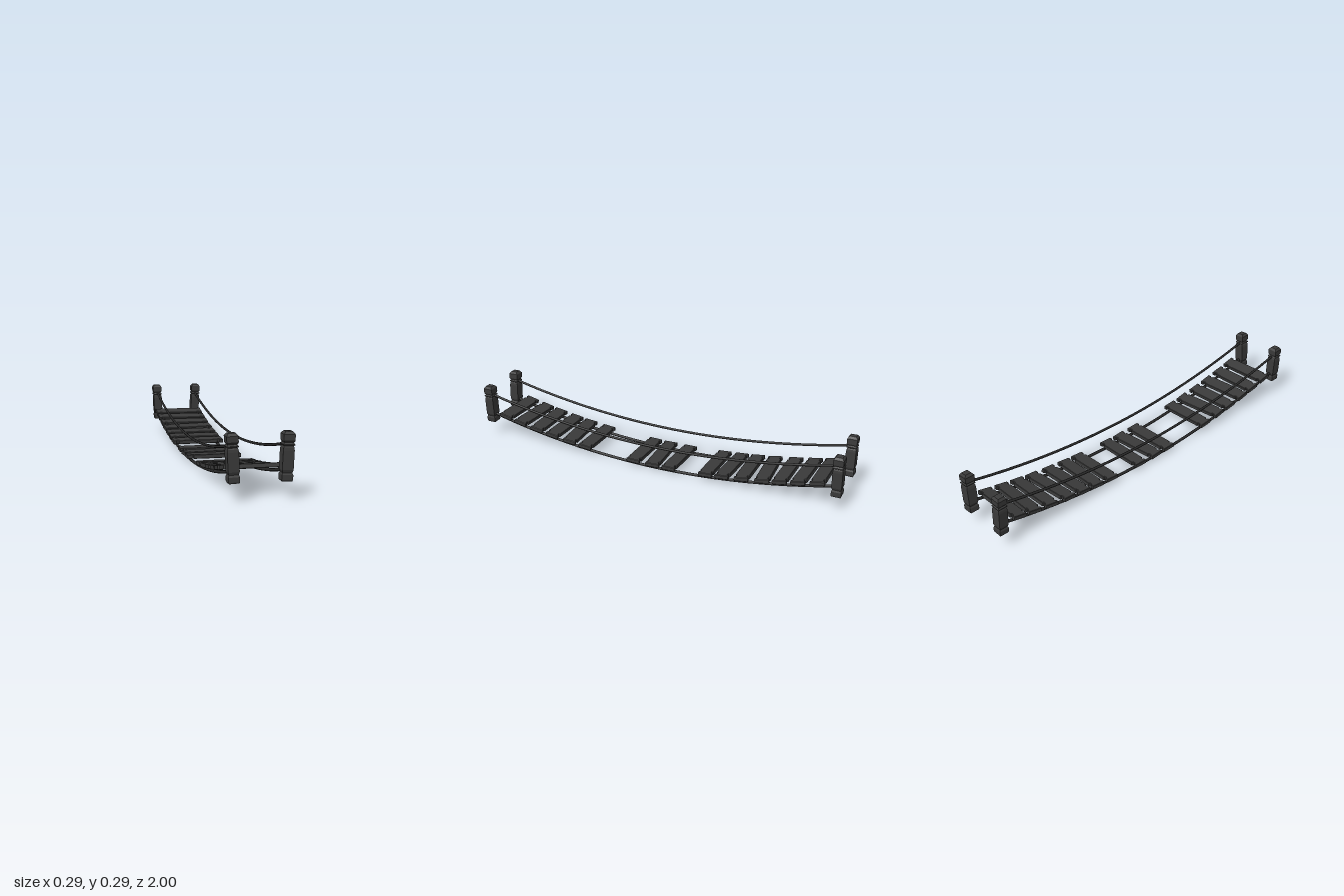
import * as THREE from 'three';

const wood = new THREE.MeshStandardMaterial({ color: 0x3a3a3a, flatShading: true });
const ropeMat = new THREE.MeshStandardMaterial({ color: 0x2a2a2a });

const deckY = z => 0.01 + 0.125 * z * z;
const railY = z => 0.126 + 0.118 * z * z;

// Square carved post: [half width, height] pairs turned with four sides
function makePost() {
  const profile = [
    [0, 0], [0.022, 0], [0.0245, 0.006], [0.0245, 0.027], [0.0205, 0.036],
    [0.0245, 0.048], [0.0245, 0.13], [0.023, 0.142], [0.02, 0.148],
    [0.025, 0.152], [0.025, 0.156], [0.02, 0.162], [0.025, 0.17],
    [0.025, 0.197], [0.016, 0.209], [0, 0.21],
  ].map(([r, y]) => new THREE.Vector2(r * Math.SQRT2, y));
  return new THREE.LatheGeometry(profile, 4, Math.PI / 4);
}

// Plank outline with small rope notches near both ends, extruded upward
function makePlank(width, depth, thick) {
  const w = width / 2, d = depth / 2, n = 0.007;
  const side = [[-w, d], [-0.123, d], [-0.120, d - n], [-0.109, d - n], [-0.106, d],
    [0.106, d], [0.109, d - n], [0.120, d - n], [0.123, d], [w, d]];
  const outline = [...side, ...side.map(([x, y]) => [-x, -y])];
  const shape = new THREE.Shape(outline.map(([x, y]) => new THREE.Vector2(x, y)));
  const b = 0.002;
  const geo = new THREE.ExtrudeGeometry(shape, {
    depth: thick - 2 * b, bevelEnabled: true, bevelThickness: b,
    bevelSize: b, bevelOffset: -b, bevelSegments: 1,
  });
  geo.translate(0, 0, b - thick / 2);
  geo.rotateX(-Math.PI / 2);
  return geo;
}

function makeRope(x, heightAt, end, radius) {
  const pts = [];
  for (let i = 0; i <= 16; i++) {
    const z = -end + (2 * end * i) / 16;
    pts.push(new THREE.Vector3(x, heightAt(z), z));
  }
  return new THREE.TubeGeometry(new THREE.CatmullRomCurve3(pts), 64, radius, 8);
}

export function createModel() {
  const bridge = new THREE.Group();
  bridge.name = 'ropeBridge';
  const add = (geo, mat, name) => {
    const mesh = new THREE.Mesh(geo, mat);
    mesh.name = name;
    bridge.add(mesh);
    return mesh;
  };

  // Four posts, leaning slightly outward
  const postGeo = makePost();
  for (const sx of [-1, 1]) {
    for (const sz of [-1, 1]) {
      const post = add(postGeo, wood, (sz > 0 ? 'front' : 'back') + (sx > 0 ? 'Left' : 'Right') + 'Post');
      post.position.set(sx * 0.1125, 0.079, sz * 0.973);
      post.rotation.z = -sx * 0.045;
    }
    // Deck rope under the planks and hand rope above
    const sideName = sx > 0 ? 'left' : 'right';
    add(makeRope(sx * 0.114, deckY, 0.965, 0.0075), ropeMat, sideName + 'DeckRope');
    add(makeRope(sx * 0.117, railY, 0.965, 0.0065), ropeMat, sideName + 'HandRope');
  }

  // Planks as [z, yaw], with gaps where boards are missing
  const planks = [
    [-0.88, 0], [-0.79, -0.03], [-0.695, 0], [-0.597, 0.08], [-0.497, 0.03],
    [-0.402, -0.03], [-0.31, 0], [-0.11, -0.02], [-0.007, 0.07], [0.093, 0],
    [0.38, 0], [0.485, 0.07], [0.583, 0], [0.683, 0.03], [0.778, -0.03], [0.875, 0],
  ];
  const plankGeo = makePlank(0.277, 0.072, 0.021);
  planks.forEach(([z, yaw], i) => {
    const plank = add(plankGeo, wood, 'plank' + (i + 1));
    plank.position.set(0, deckY(z) + 0.0205, z);
    plank.rotation.set(-Math.atan(0.25 * z), yaw, 0);
  });

  return bridge;
}
